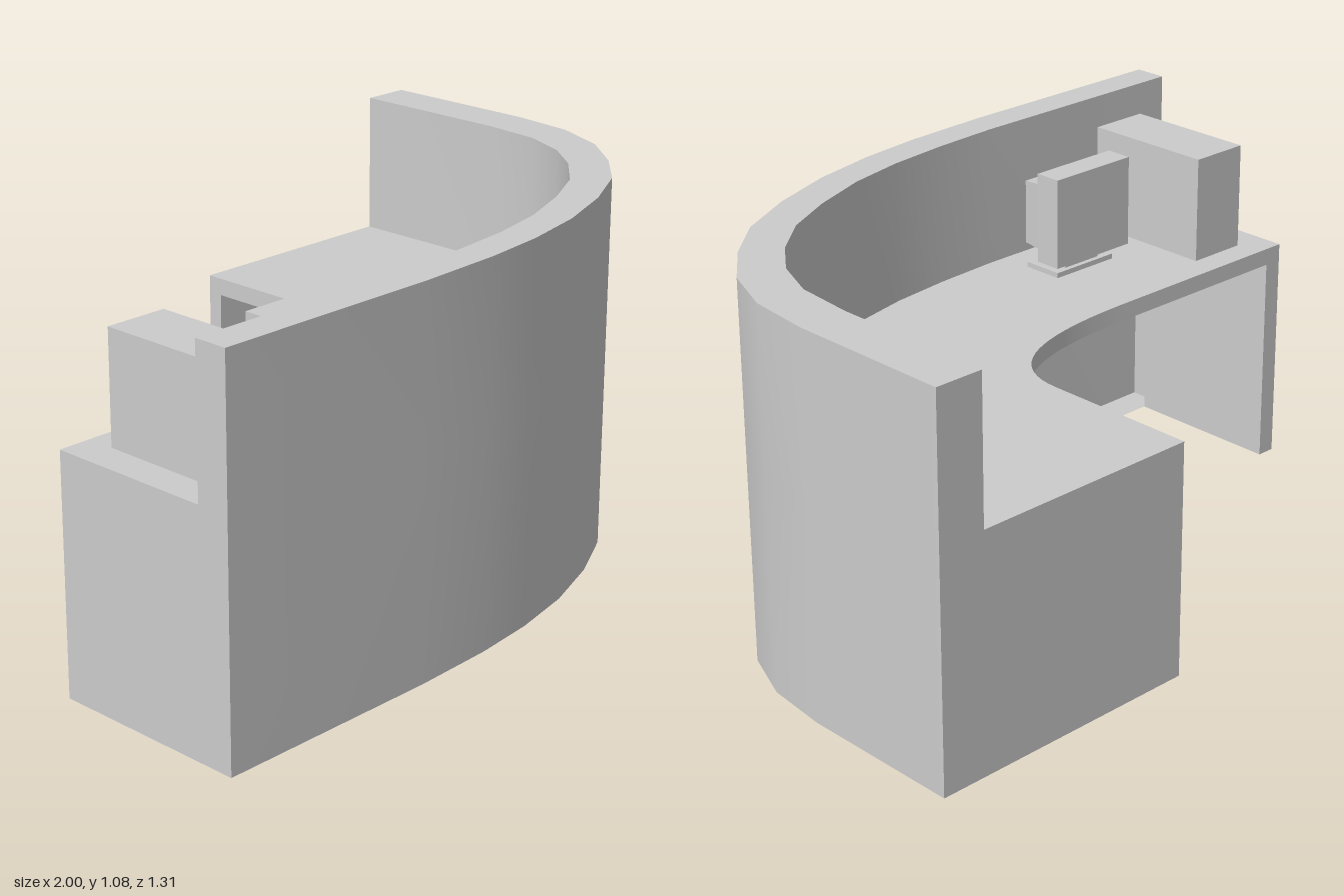
import * as THREE from 'three';
import { toCreasedNormals } from 'three/addons/utils/BufferGeometryUtils.js';

const WALL_TOP = 1.075, DESK_TOP = 0.67, DESK_UNDER = 0.62;

// Plan outlines as [x, z], running from the left end of the plan round the bend
const outer = [[-1, 0.653], [-0.33, 0.653], [-0.08, 0.642], [0.11, 0.62], [0.305, 0.578], [0.5, 0.508],
  [0.675, 0.417], [0.807, 0.3], [0.915, 0.166], [0.98, 0.005], [1, -0.18], [1, -0.655]];
const inner = [[-1, 0.556], [-0.29, 0.556], [-0.095, 0.545], [0.09, 0.524], [0.26, 0.487], [0.433, 0.422],
  [0.583, 0.345], [0.705, 0.24], [0.79, 0.13], [0.845, -0.005], [0.861, -0.18], [0.861, -0.655]];
const bend = new THREE.CubicBezierCurve(
  new THREE.Vector2(-0.35, 0.07), new THREE.Vector2(-0.02, 0.07),
  new THREE.Vector2(0.185, 0), new THREE.Vector2(0.185, -0.2));
const deskEdge = [[-1, 0.07], ...bend.getPoints(20).map(p => [p.x, p.y]), [0.185, -0.655]];

export function createModel() {
  const group = new THREE.Group();
  const grey = new THREE.MeshStandardMaterial({ color: 0xcccccc });
  const thin = new THREE.MeshStandardMaterial({ color: 0xcccccc, side: THREE.DoubleSide });

  const add = (name, geometry, material = grey) => {
    const mesh = new THREE.Mesh(geometry, material);
    mesh.name = name;
    group.add(mesh);
    return mesh;
  };
  const planShape = (a, b) =>
    new THREE.Shape([...a, ...[...b].reverse()].map(([x, z]) => new THREE.Vector2(x, -z)));
  // Solid between two plan outlines, from y0 to y1
  const slab = (name, a, b, y0, y1) => {
    const g = new THREE.ExtrudeGeometry(planShape(a, b), { depth: y1 - y0, bevelEnabled: false });
    g.rotateX(-Math.PI / 2).translate(0, y0, 0);
    return add(name, toCreasedNormals(g, 0.5));
  };
  // Box given by its limits on each axis
  const box = (name, x0, x1, y0, y1, z0, z1) => {
    const g = new THREE.BoxGeometry(x1 - x0, y1 - y0, z1 - z0);
    g.translate((x0 + x1) / 2, (y0 + y1) / 2, (z0 + z1) / 2);
    return add(name, g);
  };

  // Thick curved parapet above the desk
  slab('upperWall', outer, inner, DESK_UNDER, WALL_TOP);

  // Thin outer skin below it, returning at both ends
  const path = [inner[0], ...outer, inner[inner.length - 1]];
  const pos = [], index = [];
  path.forEach(([x, z], i) => {
    pos.push(x, 0, z, x, DESK_UNDER, z);
    if (i) {
      const k = 2 * i;
      index.push(k - 2, k, k + 1, k - 2, k + 1, k - 1);
    }
  });
  const skin = new THREE.BufferGeometry();
  skin.setAttribute('position', new THREE.Float32BufferAttribute(pos, 3));
  skin.setIndex(index);
  add('lowerWall', toCreasedNormals(skin, 0.5), thin);

  // Flat lip along the floor
  add('floorLip', new THREE.ShapeGeometry(planShape(outer, inner)).rotateX(-Math.PI / 2), thin);

  // Worktop and its two end panels
  slab('worktop', inner, deskEdge, DESK_UNDER, DESK_TOP);
  box('sideEndPanel', -1, -0.945, 0, DESK_UNDER, 0.07, 0.556);
  box('backEndPanel', 0.185, 0.861, 0, DESK_UNDER, -0.655, -0.61);

  // Computer on the worktop
  box('computerTower', -0.905, -0.725, DESK_TOP, 0.98, 0.15, 0.555);
  box('monitorScreen', -0.6, -0.315, 0.715, 0.98, 0.305, 0.385);
  box('monitorBase', -0.565, -0.345, DESK_TOP, 0.685, 0.335, 0.46);
  box('monitorNeck', -0.52, -0.39, 0.685, 0.74, 0.35, 0.42);

  // Monitor housing, slightly tapered towards its far side
  const housing = box('monitorHousing', -0.565, -0.345, 0.735, 0.935, 0.385, 0.47);
  const p = housing.geometry.attributes.position;
  for (let i = 0; i < p.count; i++) {
    if (p.getZ(i) > 0.45) {
      p.setX(i, -0.455 + (p.getX(i) + 0.455) * 0.96);
      p.setY(i, 0.835 + (p.getY(i) - 0.835) * 0.94);
    }
  }
  housing.geometry.computeVertexNormals();

  return group;
}
